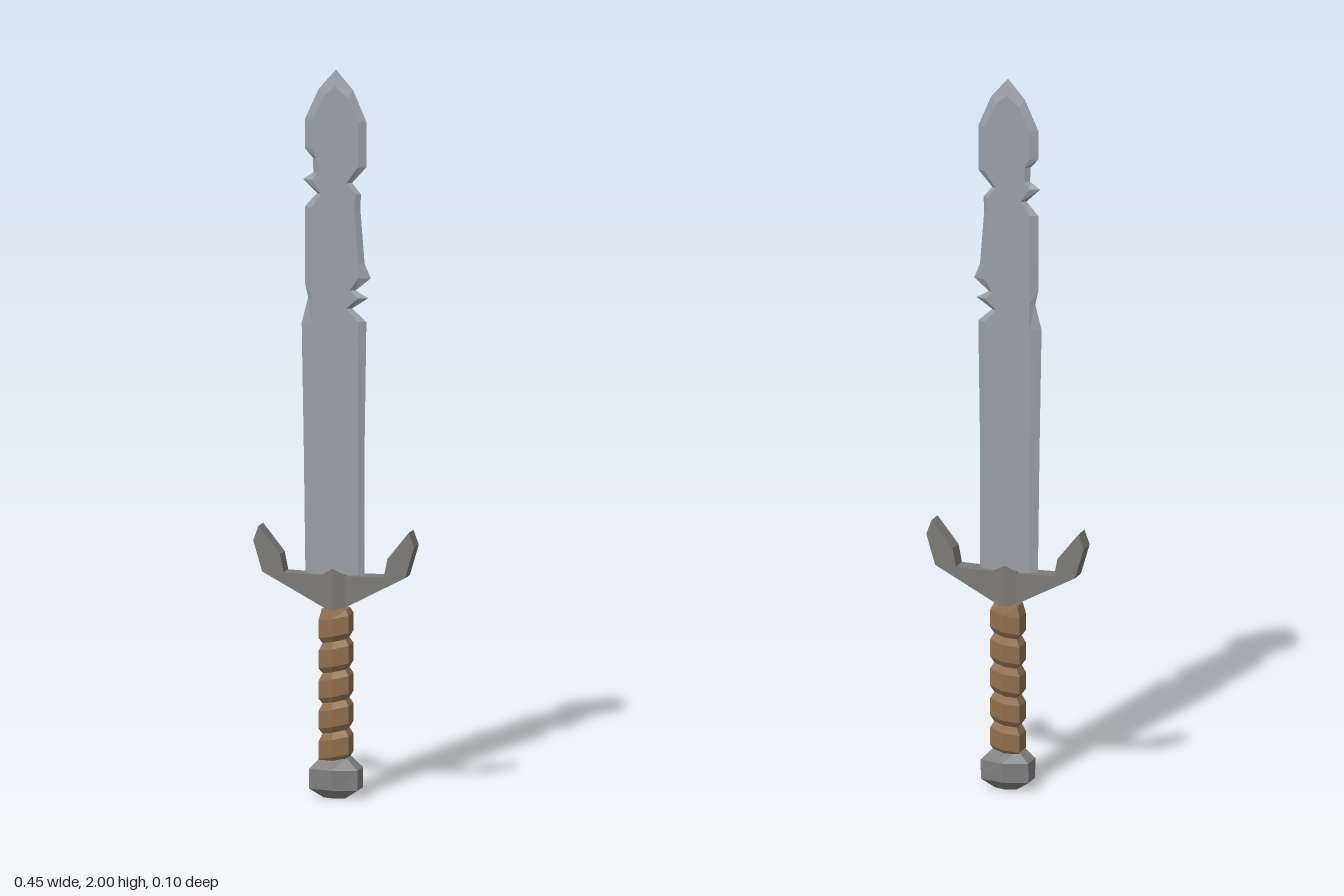
import * as THREE from 'three';

const mat = (name, color) => {
  const m = new THREE.MeshStandardMaterial({ color });
  m.name = name;
  return m;
};

// Flat-shaded geometry from a list of triangles, each three [x, y, z] corners
function facets(corners) {
  const g = new THREE.BufferGeometry();
  g.setAttribute('position', new THREE.Float32BufferAttribute(corners.flat(), 3));
  g.computeVertexNormals();
  return g;
}

// Closed loft through horizontal rings listed from bottom to top
function loft(rings) {
  const t = [], n = rings[0].length;
  const centre = r => [0, 1, 2].map(k => r.reduce((s, p) => s + p[k], 0) / n);
  const bottom = rings[0], top = rings[rings.length - 1];
  const cb = centre(bottom), ct = centre(top);
  for (let i = 0; i < n; i++) {
    const j = (i + 1) % n;
    for (let k = 0; k < rings.length - 1; k++) {
      const a = rings[k], b = rings[k + 1];
      t.push(a[i], a[j], b[j], a[i], b[j], b[i]);
    }
    t.push(cb, bottom[j], bottom[i], ct, top[i], top[j]);
  }
  return facets(t);
}

// Six-sided ring with points at front and back; tilt slopes it along x
const hexRing = (y, w, d, tilt = 0, side = 0.6) =>
  [[0, 1], [1, side], [1, -side], [0, -1], [-1, -side], [-1, side]]
    .map(([x, z]) => [x * w, y + x * w * tilt, z * d]);

// Blade: flat faces with bevels running out to a nicked edge
function bladeGeometry() {
  const right = [
    [0.08, 0.57], [0.08, 0.97], [0.085, 1.31], [0.045, 1.345], [0.09, 1.375], [0.055, 1.395],
    [0.097, 1.43], [0.08, 1.47], [0.068, 1.62], [0.07, 1.66], [0.045, 1.69], [0.085, 1.735],
    [0.085, 1.86], [0.048, 1.945]];
  const left = [
    [-0.048, 1.945], [-0.087, 1.86], [-0.087, 1.78], [-0.065, 1.755], [-0.063, 1.715],
    [-0.092, 1.695], [-0.053, 1.658], [-0.087, 1.62], [-0.087, 1.41], [-0.078, 1.37],
    [-0.096, 1.30], [-0.09, 0.95], [-0.085, 0.57]];
  const outer = [...right, [0, 2], ...left];
  const inner = outer.map(([x, y]) => y === 2 ? [0, 1.955] :
    [Math.sign(x) * Math.min(Math.abs(x) - 0.014, 0.064), y > 1.9 ? y - 0.02 : y]);
  const faces = THREE.ShapeUtils.triangulateShape(inner.map(p => new THREE.Vector2(...p)), []);
  const t = [], h = 0.01;
  const o = i => [...outer[i], 0];
  for (const s of [1, -1]) {
    const p = i => [...inner[i], s * h];
    const add = (a, b, c) => s > 0 ? t.push(a, b, c) : t.push(a, c, b);
    for (const [a, b, c] of faces) add(p(a), p(b), p(c));
    for (let i = 0; i < outer.length; i++) {
      const j = (i + 1) % outer.length;
      add(o(i), o(j), p(j));
      add(o(i), p(j), p(i));
    }
  }
  return facets(t);
}

export function createModel() {
  const model = new THREE.Group();
  model.name = 'sword';
  const steel = mat('blade steel', 0x9a9fa6);
  const iron = mat('dark iron', 0x7d7a77);
  const leather = mat('leather', 0x93704f);
  const pommelMetal = mat('pommel metal', 0x838383);

  const add = (name, geometry, material) => {
    const m = new THREE.Mesh(geometry, material);
    m.name = name;
    model.add(m);
  };

  add('blade', bladeGeometry(), steel);

  // Guard: swept arms with upturned hooks
  const half = [[0.03, 0.525], [0.2, 0.615], [0.225, 0.7], [0.21, 0.74],
    [0.15, 0.665], [0.14, 0.615], [0.03, 0.612]];
  const outline = [...half, ...half.map(([x, y]) => [-x, y]).reverse()];
  const guard = new THREE.ExtrudeGeometry(
    new THREE.Shape(outline.map(p => new THREE.Vector2(...p))), { depth: 0.05, bevelEnabled: false });
  guard.translate(0, 0, -0.025);
  add('guard', guard, iron);

  // Guard centre: keeled block, peaked at the top and pointed at the bottom
  const keel = (y, slope) => hexRing(y, 0.032, 0.037, 0, 0.7)
    .map(([x, py, z]) => [x, py + Math.abs(x) * slope, z]);
  add('guardCentre', loft([keel(0.513, 0.5), keel(0.634, -0.6)]), iron);

  // Grip: five swollen wraps with tilted creases between them
  const rings = [];
  for (let i = 0; i < 5; i++) {
    const y = 0.1 + i * 0.083;
    rings.push(hexRing(y, 0.032, 0.035, 0.2), hexRing(y + 0.016, 0.042, 0.045, 0.2),
      hexRing(y + 0.064, 0.042, 0.045, 0.2));
  }
  rings.push(hexRing(0.52, 0.034, 0.037));
  add('grip', loft(rings), leather);

  // Pommel
  add('pommel', loft([
    hexRing(0, 0.03, 0.025), hexRing(0.025, 0.068, 0.046), hexRing(0.08, 0.068, 0.051),
    hexRing(0.112, 0.036, 0.036)]), pommelMetal);

  return model;
}
